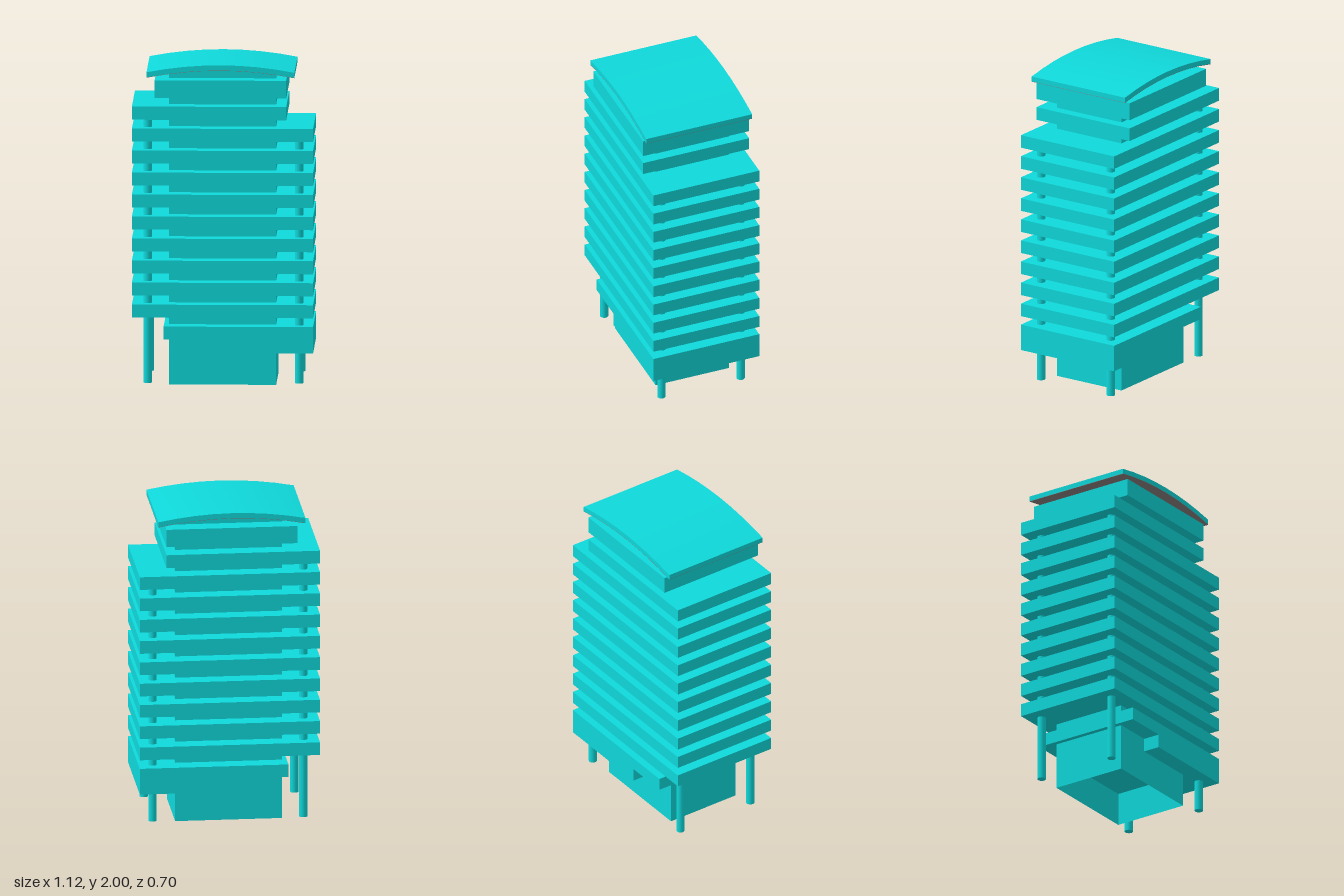
import * as THREE from 'three';
import { toCreasedNormals } from 'three/addons/utils/BufferGeometryUtils.js';

const DEPTH = 0.704;

export function createModel() {
  const model = new THREE.Group();
  model.name = 'tower';
  const teal = new THREE.MeshStandardMaterial({ color: 0x0fd8da, side: THREE.DoubleSide });
  const grey = new THREE.MeshStandardMaterial({ color: 0x8a8080, side: THREE.DoubleSide });

  const add = (name, geometry, material = teal) => {
    const mesh = new THREE.Mesh(geometry, material);
    mesh.name = name;
    model.add(mesh);
    return mesh;
  };

  // Box given by its x and y limits, centred on z
  const block = (x0, x1, y0, y1, depth = DEPTH) =>
    new THREE.BoxGeometry(x1 - x0, y1 - y0, depth).translate((x0 + x1) / 2, (y0 + y1) / 2, 0);

  // Front outline pushed through the depth of the building
  const extrude = (points, depth = DEPTH) => {
    const shape = new THREE.Shape(points.map(([x, y]) => new THREE.Vector2(x, y)));
    return new THREE.ExtrudeGeometry(shape, { depth, bevelEnabled: false }).translate(0, 0, -depth / 2);
  };

  // Central core: a hollow shaft, open at the bottom
  const core = block(-0.335, 0.325, 0, 1.96, 0.487);
  const faces = Array.from(core.index.array);
  faces.splice(18, 6);
  core.setIndex(faces);
  core.clearGroups();
  add('core', core);

  // Deep lowest storey, stepped up on one side
  add('podium', extrude([
    [-0.365, 0.295], [-0.09, 0.295], [-0.09, 0.21],
    [0.555, 0.21], [0.555, 0.375], [-0.365, 0.375],
  ]));

  // Regular floors
  for (let i = 0; i < 9; i++) {
    const y = 0.43 + i * 0.1368;
    add('floor' + (i + 1), block(-0.56, 0.555, y, y + 0.081));
  }

  // Set-back upper storeys
  add('terraceFloor', block(-0.56, 0.39, 1.66, 1.742));
  add('penthouse', block(-0.42, 0.39, 1.795, 1.905));

  // Corner columns, taller on the right
  for (const [x, top] of [[-0.465, 1.67], [0.467, 1.535]]) {
    for (const z of [-0.264, 0.262]) {
      const column = add('column', new THREE.CylinderGeometry(0.026, 0.026, top - 0.015, 20));
      column.position.set(x, (top + 0.015) / 2, z);
    }
  }

  // Shallow curved roof with a thin soffit beneath
  const segments = 8;
  const arc = (offset) => Array.from({ length: segments + 1 }, (_, i) => {
    const t = (i / segments) * 2 - 1;
    return [-0.015 + 0.455 * t, 2 - 0.045 * t * t - offset];
  });
  const arched = (top, bottom) =>
    toCreasedNormals(extrude([...arc(bottom), ...arc(top).reverse()]), 0.6);
  add('roof', arched(0, 0.032));
  add('soffit', arched(0.032, 0.034), grey);

  return model;
}
